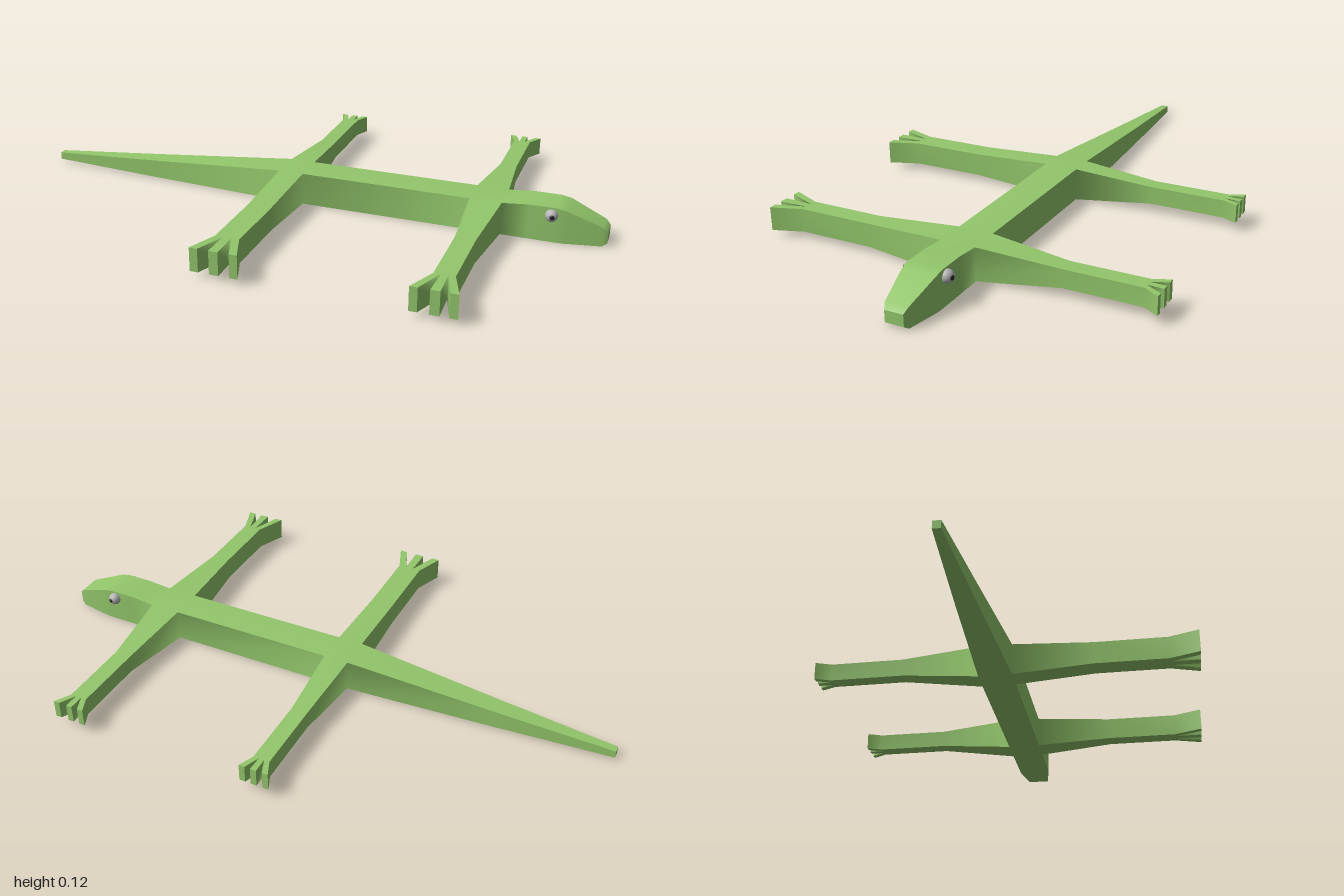
import * as THREE from 'three';
import { mergeVertices } from 'three/addons/utils/BufferGeometryUtils.js';

const green = new THREE.MeshStandardMaterial({ color: 0x93c76b, side: THREE.DoubleSide });
const grey = new THREE.MeshStandardMaterial({ color: 0xb4b4b4 });
const black = new THREE.MeshStandardMaterial({ color: 0x222222 });

const centre = (pts) => pts.reduce((s, p) => s.add(p), new THREE.Vector3()).divideScalar(pts.length);

// Adds a quad to a triangle list, turned to face away from the inner point.
function quad(list, pts, inner) {
  const [a, b, c, d] = pts;
  const n = c.clone().sub(a).cross(d.clone().sub(b));
  const out = centre(pts).sub(inner);
  const order = n.dot(out) > 0 ? [a, b, c, a, c, d] : [a, c, b, a, d, c];
  for (const p of order) list.push(p.x, p.y, p.z);
}

// Rectangular rings: bottom-low, bottom-high, top-high, top-low.
const ringX = ([x, y0, y1, z0, z1]) =>
  [[y0, z0], [y0, z1], [y1, z1], [y1, z0]].map(([y, z]) => new THREE.Vector3(x, y, z));
const ringZ = ([z, y0, y1, x0, x1]) =>
  [[y0, x0], [y0, x1], [y1, x1], [y1, x0]].map(([y, x]) => new THREE.Vector3(x, y, z));

// Joins two rings; sides and top/bottom go to separate lists so they shade separately.
function join(parts, r0, r1, open = false) {
  const inner = centre([...r0, ...r1]);
  for (let i = 0; i < 4; i++) {
    if (open && i % 2) continue;
    const j = (i + 1) % 4;
    quad(i % 2 ? parts.sides : parts.flats, [r0[i], r0[j], r1[j], r1[i]], inner);
  }
}

function surface(list, smooth, name) {
  let geo = new THREE.BufferGeometry();
  geo.setAttribute('position', new THREE.Float32BufferAttribute(list, 3));
  if (smooth) geo = mergeVertices(geo, 1e-4);
  geo.computeVertexNormals();
  const mesh = new THREE.Mesh(geo, green);
  mesh.name = name;
  return mesh;
}

export function createModel() {
  const model = new THREE.Group();
  model.name = 'lizard';
  const parts = { sides: [], flats: [], ends: [] };

  // Tail, trunk and head: x, bottom, top, z from, z to
  const trunk = [
    [-1, 0.01, 0.035, -0.04, -0.015],
    [-0.6, 0.004, 0.067, -0.061, 0.005],
    [-0.1, 0, 0.11, -0.085, 0.03],
    [-0.015, 0, 0.11, -0.085, 0.03],
    [0.56, 0, 0.11, -0.085, 0.03],
    [0.665, 0, 0.11, -0.085, 0.03],
    [0.75, 0, 0.118, -0.085, 0.03],
    [0.84, 0, 0.118, -0.085, 0.03],
    [0.87, 0, 0.112, -0.084, 0.028],
    [0.985, 0.002, 0.066, -0.065, 0.01],
    [1, 0.012, 0.05, -0.058, 0.003],
  ].map(ringX);
  for (let i = 0; i < trunk.length - 1; i++) {
    join(parts, trunk[i], trunk[i + 1], i === 2 || i === 4); // legs grow from the open spans
  }
  quad(parts.ends, trunk[0], centre(trunk[1]));
  quad(parts.ends, trunk.at(-1), centre(trunk.at(-2)));

  // Legs: rings by z, bottom, top, x from, x to; then the toe spans at the tip
  const legs = [
    { rings: [[0.03, 0, 0.11, -0.1, -0.015], [0.3, 0.02, 0.098, -0.097, -0.017], [0.55, 0.02, 0.098, -0.097, -0.017]],
      tip: 0.65, toes: [[-0.135, -0.108], [-0.072, -0.042], [-0.006, 0.02]] },
    { rings: [[0.03, 0, 0.11, 0.56, 0.665], [0.3, 0.02, 0.098, 0.58, 0.645], [0.55, 0.02, 0.098, 0.58, 0.645]],
      tip: 0.65, toes: [[0.538, 0.563], [0.598, 0.627], [0.655, 0.68]] },
    { rings: [[-0.085, 0, 0.11, -0.1, -0.015], [-0.35, 0.029, 0.089, -0.085, -0.03], [-0.6, 0.029, 0.089, -0.085, -0.03]],
      tip: -0.652, toes: [[-0.107, -0.087], [-0.067, -0.047], [-0.028, -0.008]] },
    { rings: [[-0.085, 0, 0.11, 0.56, 0.665], [-0.35, 0.029, 0.089, 0.583, 0.64], [-0.6, 0.029, 0.089, 0.583, 0.64]],
      tip: -0.652, toes: [[0.56, 0.58], [0.602, 0.622], [0.65, 0.67]] },
  ];
  for (const { rings, tip, toes } of legs) {
    const r = rings.map(ringZ);
    join(parts, r[0], r[1]);
    join(parts, r[1], r[2]);
    const [z, y0, y1, x0, x1] = rings[2];
    toes.forEach(([a, b], k) => {
      const w = (x1 - x0) / 3;
      const base = ringZ([z, y0, y1, x0 + k * w, x0 + (k + 1) * w]);
      const end = ringZ([tip, y0, y1, a, b]);
      join(parts, base, end);
      quad(parts.ends, end, centre(base));
    });
  }

  const body = new THREE.Group();
  body.name = 'body';
  body.add(
    surface(parts.sides, true, 'bodySides'),
    surface(parts.flats, true, 'backAndBelly'),
    surface(parts.ends, false, 'tailNoseAndToeTips'),
  );
  model.add(body);

  // Eyes with pupils on both sides of the head
  for (const [name, z, dir] of [['rightEye', 0.03, 1], ['leftEye', -0.089, -1]]) {
    const eye = new THREE.Group();
    eye.name = name;
    const ball = new THREE.Mesh(new THREE.SphereGeometry(0.021, 20, 14), grey);
    ball.name = 'eyeball';
    const pupil = new THREE.Mesh(new THREE.SphereGeometry(0.01, 14, 10), black);
    pupil.name = 'pupil';
    pupil.position.set(0.003, 0, dir * 0.013);
    eye.add(ball, pupil);
    eye.position.set(0.824, 0.092, z);
    model.add(eye);
  }
  return model;
}
